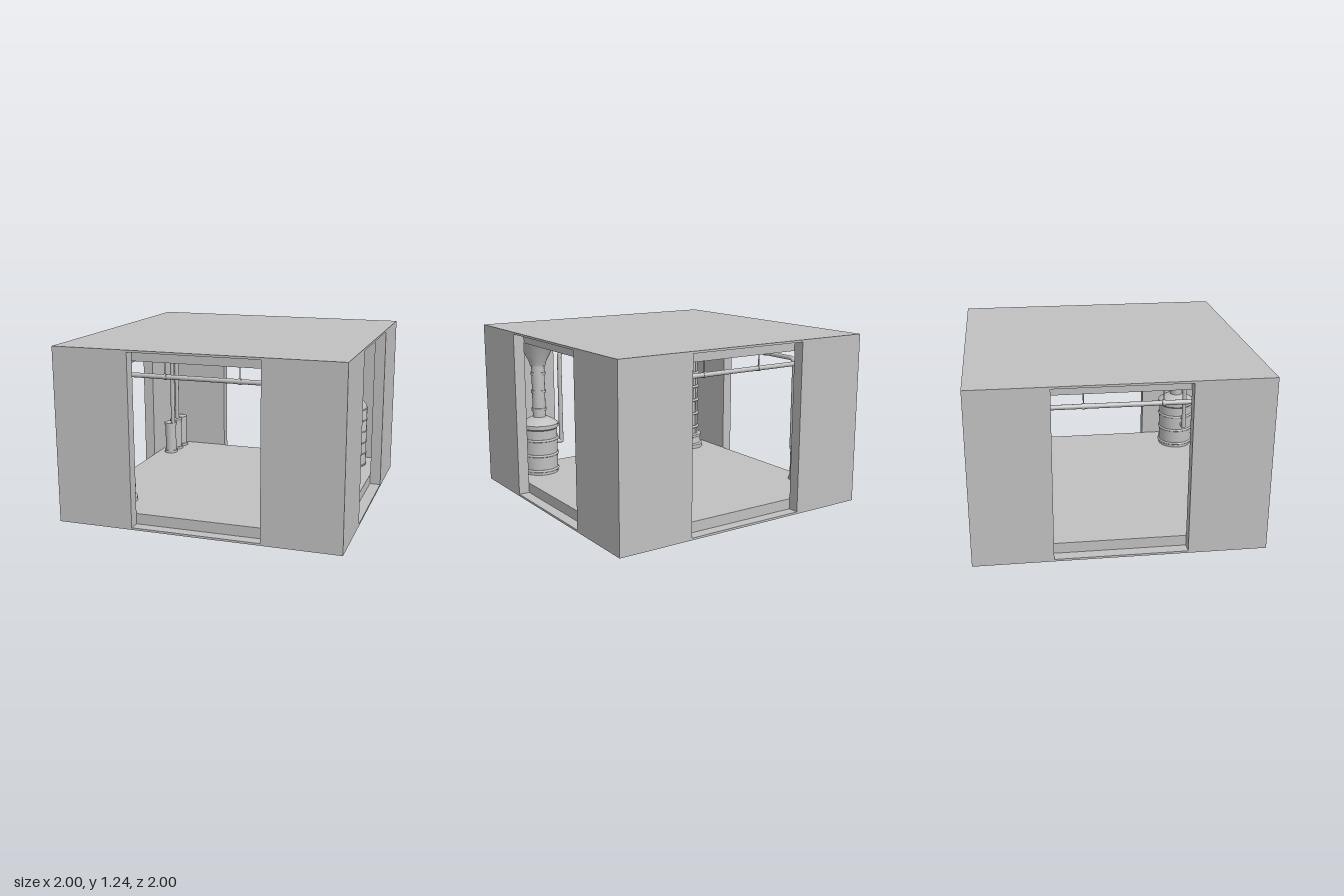
import * as THREE from 'three';
import { toCreasedNormals } from 'three/addons/utils/BufferGeometryUtils.js';

export function createModel() {
  const model = new THREE.Group();
  model.name = 'plantRoom';
  const grey = new THREE.MeshStandardMaterial({ color: 0xc0c0c0 });
  grey.name = 'plain grey';

  const FLOOR = 0.09, CEILING = 1.15, TOP = 1.235, SKIN = 0.015;
  const OPEN = 0.455, INNER = 0.92;

  const add = (name, geometry, x = 0, y = 0, z = 0, parent = model) => {
    const mesh = new THREE.Mesh(geometry, grey);
    mesh.name = name;
    mesh.position.set(x, y, z);
    parent.add(mesh);
    return mesh;
  };
  // Box given by its limits on each axis
  const block = (name, x0, x1, y0, y1, z0, z1, parent) => add(name,
    new THREE.BoxGeometry(Math.abs(x1 - x0), y1 - y0, Math.abs(z1 - z0)),
    (x0 + x1) / 2, (y0 + y1) / 2, (z0 + z1) / 2, parent);
  // Upright cylinder between two heights
  const post = (name, r, y0, y1, x, z, parent, sides = 24) => add(name,
    new THREE.CylinderGeometry(r, r, y1 - y0, sides), x, (y0 + y1) / 2, z, parent);
  // Turned solid from [radius, height] pairs, bottom to top
  const turned = (name, pairs, parent) => add(name, toCreasedNormals(
    new THREE.LatheGeometry(pairs.map(p => new THREE.Vector2(...p)), 32), 0.6), 0, 0, 0, parent);
  const ring = (name, r, tube, y, parent) => {
    const mesh = add(name, new THREE.TorusGeometry(r, tube, 8, 32), 0, y, 0, parent);
    mesh.rotation.x = Math.PI / 2;
    return mesh;
  };
  const station = (name, x, z) => {
    const group = new THREE.Group();
    group.name = name;
    group.position.set(x, 0, z);
    model.add(group);
    return group;
  };

  // Shell: thin outer skins, inner slabs and four L-shaped corner walls
  block('base', -1, 1, 0, SKIN, -1, 1);
  block('roof', -1, 1, TOP - SKIN, TOP, -1, 1);
  block('floor', -INNER, INNER, SKIN, FLOOR, -INNER, INNER);
  block('ceiling', -INNER, INNER, CEILING, TOP - SKIN, -INNER, INNER);
  for (const sx of [-1, 1]) for (const sz of [-1, 1]) {
    block('cornerWall', sx * OPEN, sx, SKIN, TOP - SKIN, sz * INNER, sz);
    block('cornerWallReturn', sx * INNER, sx, SKIN, TOP - SKIN, sz * OPEN, sz * INNER);
  }

  // Ceiling lights, one facing each opening
  for (let i = 0; i < 4; i++) {
    const light = new THREE.Group();
    light.name = 'ceilingLight';
    light.rotation.y = i * Math.PI / 2;
    block('lightFrame', -0.265, 0.265, 1.135, CEILING, 0.44, 0.56, light);
    block('lightPanel', -0.245, 0.245, 1.128, 1.135, 0.46, 0.54, light);
    model.add(light);
  }

  // Banded storage tank with ladder, back left corner
  const tank = station('storageTank', 0.69, -0.71);
  turned('tankBody', [[0, FLOOR], [0.145, FLOOR], [0.145, 0.56], [0.135, 0.59],
    [0.11, 0.62], [0.07, 0.64], [0, 0.645]], tank);
  post('tankLid', 0.06, 0.635, 0.66, 0, 0, tank);
  post('lidKnob', 0.018, 0.66, 0.68, 0, 0, tank);
  for (let i = 0; i < 6; i++) ring('tankBand', 0.145, 0.005, 0.1 + i * 0.092, tank);
  const ladder = new THREE.Group();
  ladder.name = 'ladder';
  ladder.rotation.y = -Math.PI / 4;
  tank.add(ladder);
  for (const s of [-1, 1]) post('ladderRail', 0.006, 0.1, 0.69, s * 0.03, 0.17, ladder, 8);
  for (let i = 0; i < 9; i++) {
    const rung = post('ladderRung', 0.004, 0, 0.06, 0, 0.17, ladder, 8);
    rung.rotation.z = Math.PI / 2;
    rung.position.y = 0.14 + i * 0.064;
  }
  for (const y of [0.2, 0.5]) for (const s of [-1, 1])
    block('ladderBracket', s * 0.03 - 0.004, s * 0.03 + 0.004, y, y + 0.008, 0.135, 0.17, ladder);

  // Ringed tower, front right corner
  const tower = station('ringedTower', -0.7, 0.7);
  turned('towerFoot', [[0, FLOOR], [0.142, FLOOR], [0.142, 0.12], [0.128, 0.13],
    [0.12, 0.18], [0.13, 0.185], [0.13, 0.205], [0, 0.205]], tower);
  post('towerColumn', 0.082, 0.2, CEILING, 0, 0, tower);
  for (let i = 0; i < 8; i++) {
    const a = i * Math.PI / 4;
    post('towerStrut', 0.01, 0.2, CEILING, 0.09 * Math.cos(a), 0.09 * Math.sin(a), tower, 8);
  }
  for (let i = 0; i < 8; i++) ring('towerRing', 0.1, 0.012, 0.27 + i * 0.118, tower);

  // Vat with a flue and hood, front left corner
  const vat = station('hoodedVat', 0.7, 0.7);
  turned('vatBody', [[0, FLOOR], [0.135, FLOOR], [0.135, 0.44], [0.145, 0.45],
    [0.145, 0.48], [0.1, 0.51], [0.06, 0.53], [0, 0.53]], vat);
  for (const y of [0.12, 0.24, 0.36]) ring('vatBand', 0.135, 0.01, y, vat);
  post('flue', 0.05, 0.52, 0.96, 0, 0, vat);
  for (const y of [0.58, 0.72, 0.86]) post('flueCollar', 0.058, y, y + 0.02, 0, 0, vat);
  turned('hood', [[0, 0.93], [0.058, 0.93], [0.065, 0.96], [0.14, 1.11],
    [0.145, 1.12], [0.145, CEILING]], vat);

  // Row of short cylinders, back right corner
  for (const z of [-0.58, -0.7, -0.82]) {
    const cylinder = station('pressureCylinder', -0.82, z);
    post('cylinderFoot', 0.055, FLOOR, 0.11, 0, 0, cylinder);
    post('cylinderBody', 0.045, 0.11, 0.33, 0, 0, cylinder);
    post('cylinderCap', 0.052, 0.33, 0.35, 0, 0, cylinder);
  }

  // Overhead pipes with rounded elbows; each path is a list of corners
  const pipe = (name, corners, r = 0.017, bend = 0.05) => {
    const pts = corners.map(c => new THREE.Vector3(...c));
    const path = new THREE.CurvePath();
    let from = pts[0];
    for (let i = 1; i < pts.length - 1; i++) {
      const a = pts[i].clone().add(pts[i - 1].clone().sub(pts[i]).setLength(bend));
      const b = pts[i].clone().add(pts[i + 1].clone().sub(pts[i]).setLength(bend));
      path.add(new THREE.LineCurve3(from, a));
      path.add(new THREE.QuadraticBezierCurve3(a, pts[i], b));
      from = b;
    }
    path.add(new THREE.LineCurve3(from, pts[pts.length - 1]));
    add(name, new THREE.TubeGeometry(path, 140, r, 12, false));
  };
  const H = 1.018;
  pipe('frontPipe', [[0.5, 0.3, 0.73], [0.5, H, 0.73], [-0.64, H, 0.73]]);
  pipe('vatInlet', [[0.58, 0.3, 0.73], [0.49, 0.3, 0.73]]);
  pipe('backPipe', [[0.59, 0.58, -0.73], [0.59, H, -0.73], [-0.82, H, -0.73], [-0.82, 0.34, -0.73]]);
  pipe('sidePipe', [[-0.79, 0.34, -0.56], [-0.79, H, -0.56], [-0.79, H, 0.7], [-0.7, H, 0.7]]);

  // Pipe hangers
  const hanger = (x, z, alongX) => {
    post('hangerRod', 0.004, H - 0.015, CEILING, x, z, model, 8);
    const clamp = post('hangerClamp', 0.021, -0.01, 0.01, x, z, model, 16);
    clamp.rotation.set(alongX ? 0 : Math.PI / 2, 0, alongX ? Math.PI / 2 : 0);
    clamp.position.y = H;
  };
  hanger(-0.3, 0.73, true);
  hanger(0.23, 0.73, true);
  hanger(-0.3, -0.73, true);
  hanger(0.17, -0.73, true);
  hanger(-0.79, 0.3, false);
  hanger(-0.79, -0.23, false);

  return model;
}
